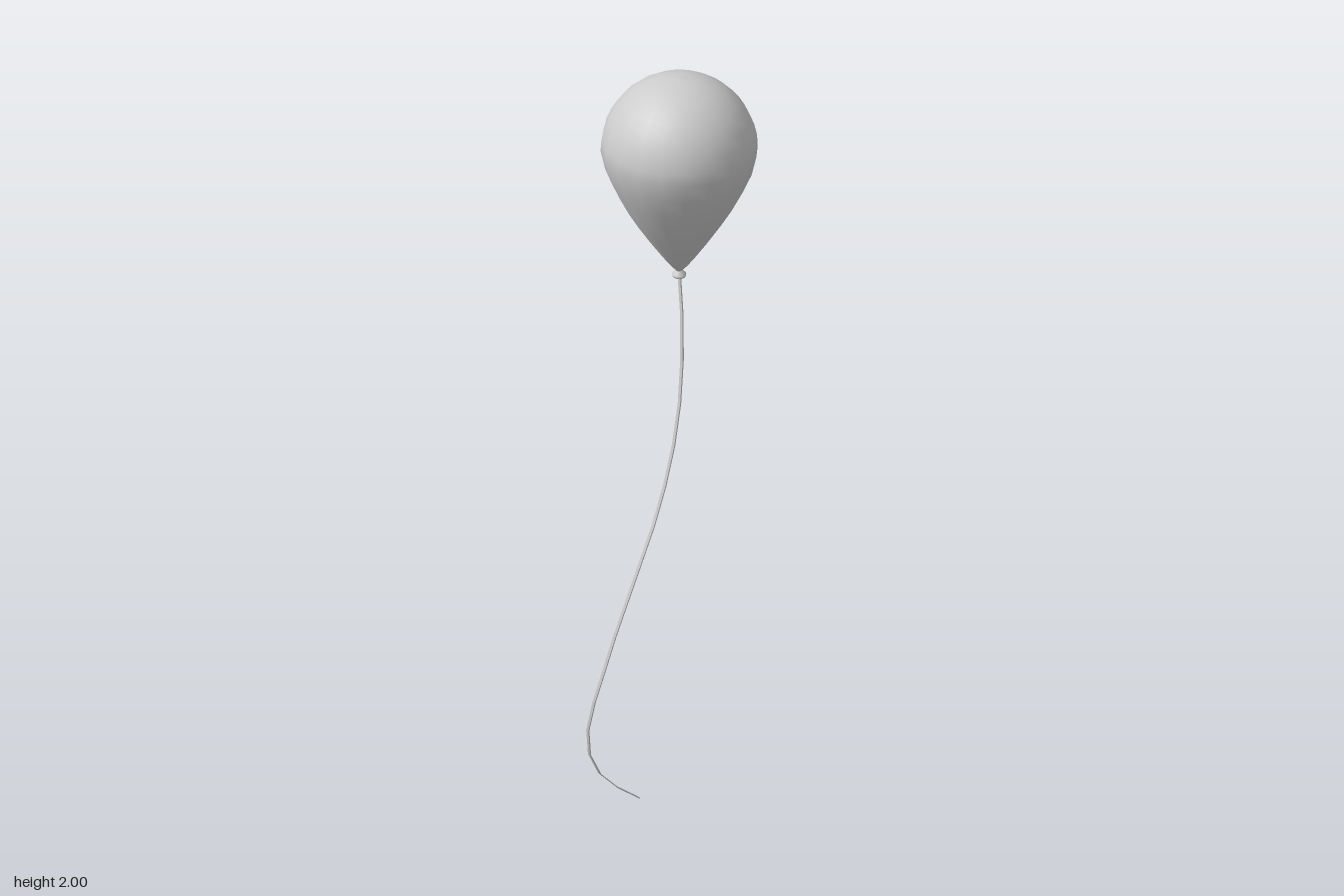
import * as THREE from 'three';

const BALLOON_Z = -0.02;

// [y, x, z] stations of the hanging string, floor to knot
const STRING_PATH = [
  [0, -0.147, -0.02], [0.1, -0.14, 0.07], [0.2, -0.126, 0.133], [0.3, -0.107, 0.165],
  [0.4, -0.082, 0.176], [0.5, -0.056, 0.168], [0.65, -0.028, 0.143], [0.8, -0.003, 0.107],
  [1.0, 0.02, 0.05], [1.2, 0.028, 0.008], [1.4, 0.018, -0.014], [1.55, 0, -0.02],
];

function lathe(name, profile, material) {
  const points = profile.map(([r, y]) => new THREE.Vector2(r, y));
  const mesh = new THREE.Mesh(new THREE.LatheGeometry(points, 20), material);
  mesh.name = name;
  mesh.position.z = BALLOON_Z;
  return mesh;
}

// Flat ribbon: a tall thin box whose cross-sections are shifted along the path
function stringGeometry() {
  const curve = new THREE.CatmullRomCurve3(STRING_PATH.map(([y, x, z]) => new THREE.Vector3(x, y, z)));
  const rows = 16;
  const geometry = new THREE.BoxGeometry(0.008, 1, 0.003, 1, rows, 1);
  const pos = geometry.attributes.position;
  const centre = new THREE.Vector3();
  for (let i = 0; i < pos.count; i++) {
    curve.getPointAt(THREE.MathUtils.clamp(pos.getY(i) + 0.5, 0, 1), centre);
    pos.setXYZ(i, pos.getX(i) + centre.x, centre.y, pos.getZ(i) + centre.z);
  }
  geometry.computeVertexNormals();
  return geometry;
}

export function createModel() {
  const group = new THREE.Group();
  group.name = 'balloon';
  const grey = new THREE.MeshStandardMaterial({ color: 0xcccccc });
  const thin = new THREE.MeshStandardMaterial({ color: 0xcccccc, side: THREE.DoubleSide });

  // Teardrop body: tapered lower half, round dome above the widest ring
  const body = [
    [0.005, 1.552], [0.02, 1.57], [0.038, 1.595], [0.066, 1.637], [0.088, 1.672],
    [0.11, 1.71], [0.132, 1.755], [0.151, 1.8],
  ];
  const domeRings = 10;
  for (let i = 0; i <= domeRings; i++) {
    const a = (i / domeRings) * Math.PI / 2;
    body.push([i === domeRings ? 0 : 0.16 * Math.cos(a), 1.842 + 0.158 * Math.sin(a)]);
  }
  group.add(lathe('balloonBody', body, grey));

  // Flared lip below the tied neck
  group.add(lathe('knot', [[0.003, 1.548], [0.014, 1.54], [0.015, 1.545], [0.005, 1.556]], thin));

  const string = new THREE.Mesh(stringGeometry(), thin);
  string.name = 'string';
  group.add(string);
  return group;
}
